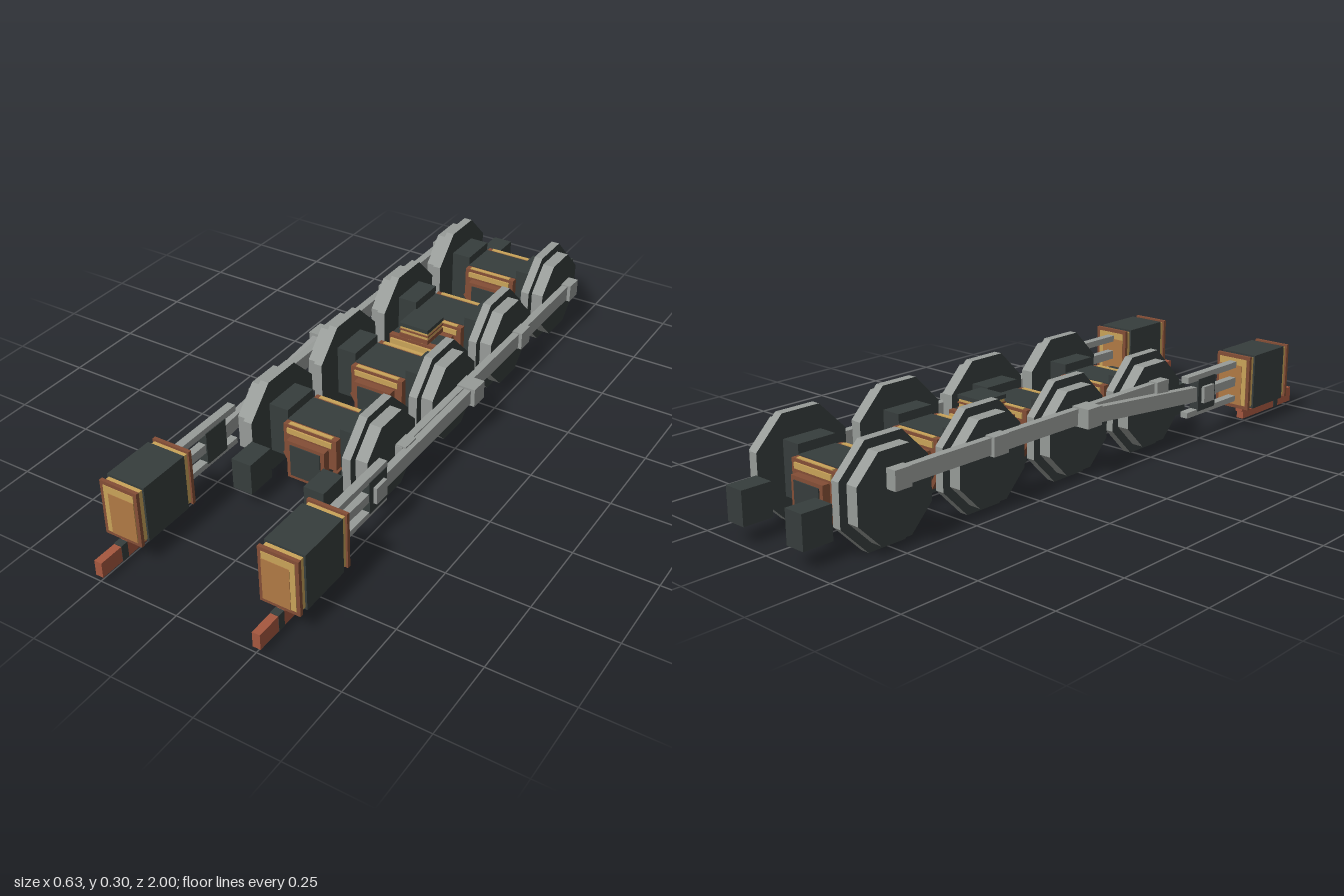
import * as THREE from 'three';

const mat = (name, color) => {
  const m = new THREE.MeshStandardMaterial({ color });
  m.name = name;
  return m;
};

export function createModel() {
  const dark = mat('dark iron', 0x363d3c);
  const steel = mat('grey steel', 0x979b98);
  const brown = mat('brown trim', 0x844e36);
  const copper = mat('copper panel', 0xb07a45);
  const gold = mat('gold trim', 0xc9a359);
  const pipeRed = mat('red copper', 0xa5573f);

  const root = new THREE.Group();
  root.name = 'locomotiveChassis';

  const group = (name, parent = root) => {
    const g = new THREE.Group();
    g.name = name;
    parent.add(g);
    return g;
  };
  // Box given by its minimum and maximum on each axis
  const box = (parent, name, m, x0, x1, y0, y1, z0, z1) => {
    const geo = new THREE.BoxGeometry(Math.abs(x1 - x0), y1 - y0, z1 - z0);
    const mesh = new THREE.Mesh(geo, m);
    mesh.name = name;
    mesh.position.set((x0 + x1) / 2, (y0 + y1) / 2, (z0 + z1) / 2);
    parent.add(mesh);
    return mesh;
  };
  // Straight bar in a side plane between two (z, y) points
  const bar = (parent, name, m, x0, x1, z0, y0, z1, y1, height) => {
    const len = Math.hypot(z1 - z0, y1 - y0);
    const mesh = new THREE.Mesh(new THREE.BoxGeometry(Math.abs(x1 - x0), height, len), m);
    mesh.name = name;
    mesh.position.set((x0 + x1) / 2, (y0 + y1) / 2, (z0 + z1) / 2);
    mesh.rotation.x = -Math.atan2(y1 - y0, z1 - z0);
    parent.add(mesh);
  };
  // Eight-sided disc along x: steel rim, dark faces
  const disc = (parent, name, apothem, x0, x1, z) => {
    let geo = new THREE.CylinderGeometry(apothem / Math.cos(Math.PI / 8), apothem / Math.cos(Math.PI / 8),
      Math.abs(x1 - x0), 8, 1, false, Math.PI / 8);
    geo.rotateZ(Math.PI / 2);
    geo = geo.toNonIndexed();
    geo.computeVertexNormals();
    const mesh = new THREE.Mesh(geo, [steel, dark, dark]);
    mesh.name = name;
    mesh.position.set((x0 + x1) / 2, 0.15, z);
    parent.add(mesh);
  };

  const axles = [0.305, -0.045, -0.4, -0.752];

  // Axles with wheels, axle boxes and gearboxes
  for (const z of axles) {
    const axle = group('axleSet');
    for (const s of [1, -1]) {
      disc(axle, 'wheelFlange', 0.15, s * 0.15, s * 0.177, z);
      disc(axle, 'wheelTread', 0.125, s * 0.177, s * 0.215, z);
      box(axle, 'axleBox', dark, s * 0.087, s * 0.152, 0.07, 0.23, z - 0.063, z + 0.063);
    }
    box(axle, 'gearboxBody', dark, -0.087, 0.087, 0.1, 0.203, z - 0.063, z + 0.063);
    box(axle, 'gearboxLower', dark, -0.062, 0.062, 0.04, 0.165, z - 0.085, z + 0.085);
    for (const d of [1, -1]) {
      // Stepped end of the gearbox: brown surround, gold bands, framed panel
      box(axle, 'endSurround', brown, -0.088, 0.088, 0.1, 0.2, z + d * 0.074 - 0.011, z + d * 0.074 + 0.011);
      box(axle, 'goldBand', gold, -0.074, 0.074, 0.174, 0.191, z + d * 0.087 - 0.003, z + d * 0.087 + 0.003);
      box(axle, 'goldTopBand', gold, -0.072, 0.072, 0.199, 0.203, z + d * 0.076 - 0.006, z + d * 0.076 + 0.006);
      box(axle, 'panelFrame', brown, -0.063, 0.063, 0.04, 0.165, z + d * 0.096 - 0.013, z + d * 0.096 + 0.013);
      box(axle, 'darkPanel', dark, -0.05, 0.05, 0.052, 0.154, z + d * 0.1105 - 0.002, z + d * 0.1105 + 0.002);
      for (const s of [1, -1]) {
        // Slanted strut under the surround
        const strut = new THREE.Mesh(new THREE.BoxGeometry(0.014, 0.056, 0.022), brown);
        strut.name = 'slantedStrut';
        strut.position.set(s * 0.073, 0.079, z + d * 0.074);
        strut.rotation.z = -s * 0.55;
        axle.add(strut);
      }
    }
  }

  // Raised unit between the middle axles
  const mid = group('centreUnit');
  const cz = -0.222;
  box(mid, 'centreBody', dark, -0.084, 0.084, 0.05, 0.2, cz - 0.028, cz + 0.028);
  box(mid, 'centreKeel', dark, -0.062, 0.062, 0.03, 0.06, cz - 0.12, cz + 0.12);
  box(mid, 'capCore', gold, -0.048, 0.048, 0.2, 0.243, cz - 0.044, cz + 0.044);
  box(mid, 'capFoot', brown, -0.05, 0.05, 0.203, 0.217, cz - 0.048, cz + 0.048);
  box(mid, 'capBand', brown, -0.05, 0.05, 0.227, 0.232, cz - 0.047, cz + 0.047);
  box(mid, 'capTop', dark, -0.05, 0.05, 0.241, 0.253, cz - 0.048, cz + 0.048);
  for (const d of [1, -1]) {
    box(mid, 'centreSurround', brown, -0.087, 0.087, 0.1, 0.2, cz + d * 0.037 - 0.009, cz + d * 0.037 + 0.009);
    box(mid, 'centreGoldBand', gold, -0.08, 0.08, 0.12, 0.19, cz + d * 0.049 - 0.004, cz + d * 0.049 + 0.004);
  }

  for (const s of [1, -1]) {
    const side = group(s > 0 ? 'leftSide' : 'rightSide');

    // Frame blocks at both ends
    box(side, 'frontFrameBlock', dark, s * 0.088, s * 0.152, 0.053, 0.152, 0.455, 0.55);
    box(side, 'rearFrameBlock', dark, s * 0.088, s * 0.152, 0.053, 0.152, -1, -0.905);

    // Crank pins are a quarter turn apart on the two sides
    const dz = s > 0 ? -0.048 : 0;
    const py = s > 0 ? 0.15 : 0.2;
    box(side, 'couplingRod', steel, s * 0.213, s * 0.237, py - 0.024, py + 0.024,
      axles[3] + dz - 0.025, axles[0] + dz + 0.03);
    for (const z of axles) {
      box(side, 'crankPin', steel, s * 0.21, s * 0.248, py - 0.028, py + 0.028, z + dz - 0.028, z + dz + 0.028);
    }

    // Main rod, crosshead and slide bars
    const mz = axles[1] + dz;
    const hz = s > 0 ? 0.457 : 0.505;
    box(side, 'mainPin', steel, s * 0.215, s * 0.275, py - 0.029, py + 0.029, mz - 0.03, mz + 0.03);
    bar(side, 'mainRod', steel, s * 0.239, s * 0.262, mz, py, hz, 0.15, 0.046);
    box(side, 'crosshead', dark, s * 0.236, s * 0.267, 0.1, 0.203, hz - 0.043, hz + 0.045);
    box(side, 'crossheadPin', steel, s * 0.25, s * 0.278, 0.125, 0.177, hz - 0.026, hz + 0.026);
    box(side, 'pistonRod', steel, s * 0.24, s * 0.264, 0.138, 0.166, hz, 0.69);
    box(side, 'upperSlideBar', steel, s * 0.239, s * 0.265, 0.199, 0.219, 0.41, 0.69);
    box(side, 'lowerSlideBar', steel, s * 0.239, s * 0.265, 0.088, 0.106, 0.41, 0.69);

    // Cylinder block with framed ends
    const cyl = group('cylinder', side);
    box(cyl, 'cylinderBody', dark, s * 0.19, s * 0.313, 0.065, 0.24, 0.7, 0.866);
    for (const d of [1, -1]) {
      const at = (name, m, x0, x1, y0, y1, a, b) => box(cyl, name, m, s * x0, s * x1, y0, y1,
        0.783 + Math.min(d * a, d * b), 0.783 + Math.max(d * a, d * b));
      at('goldCollar', gold, 0.196, 0.307, 0.072, 0.233, 0.08, 0.103);
      at('endFrame', brown, 0.19, 0.313, 0.065, 0.24, 0.102, 0.113);
      at('endGoldPanel', gold, 0.201, 0.302, 0.077, 0.229, 0.112, 0.1145);
      at('endCopperPanel', copper, 0.201, 0.286, 0.077, 0.207, 0.114, 0.116);
    }

    // Drain pipe below the cylinder
    const pipe = group('drainPipe', side);
    box(pipe, 'pipeNose', pipeRed, s * 0.24, s * 0.264, 0.016, 0.064, 0.84, 1);
    box(pipe, 'pipeRun', pipeRed, s * 0.24, s * 0.264, 0.016, 0.04, 0.72, 0.84);
    box(pipe, 'pipeRiser', pipeRed, s * 0.24, s * 0.264, 0.04, 0.07, 0.712, 0.74);
    box(pipe, 'pipeClamp', dark, s * 0.239, s * 0.265, 0.015, 0.066, 0.898, 0.922);
  }

  return root;
}
